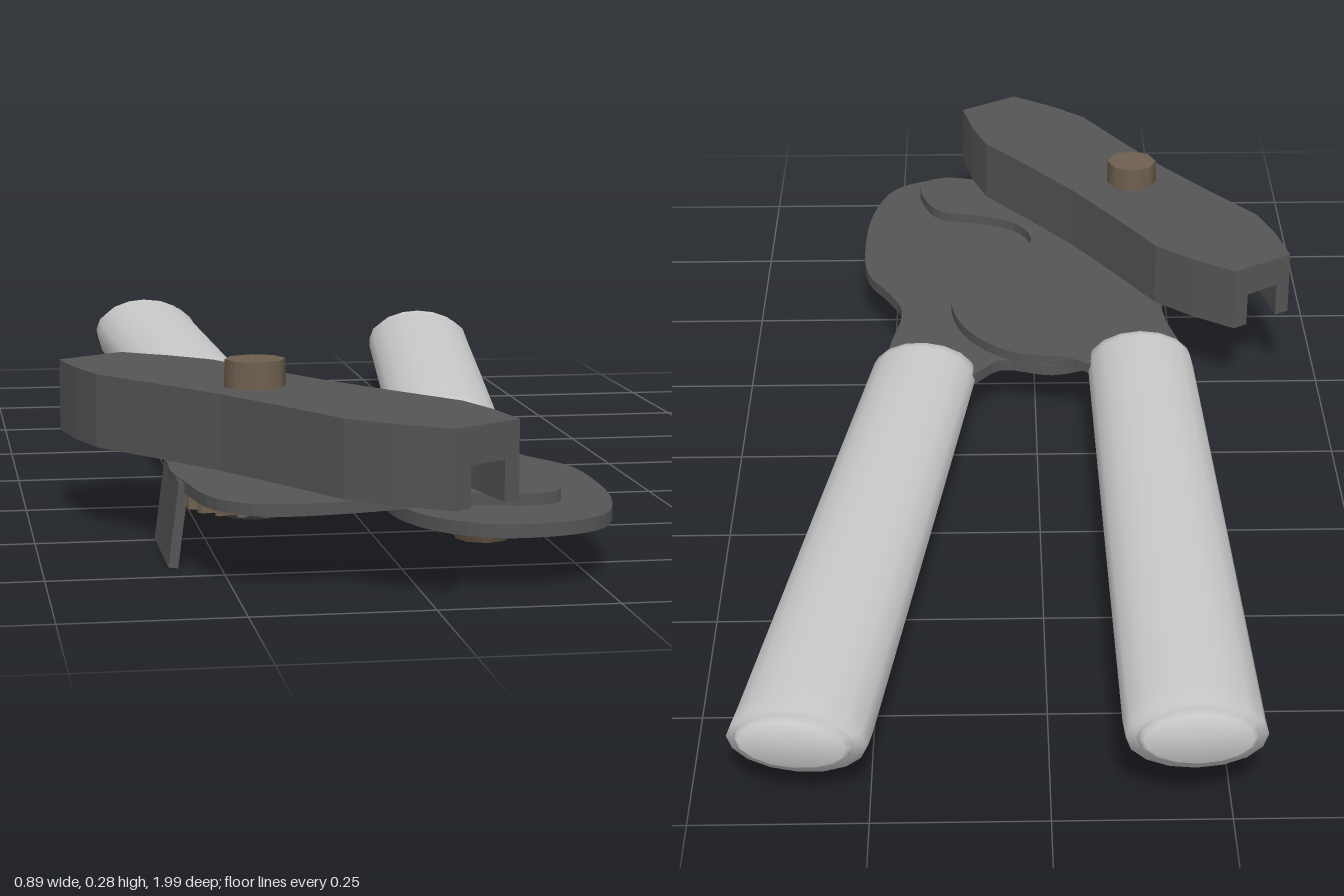
import * as THREE from 'three';

const metal = new THREE.MeshStandardMaterial({ color: 0x555555 });
const brass = new THREE.MeshStandardMaterial({ color: 0x6f6050 });
const grey = new THREE.MeshStandardMaterial({ color: 0xcccccc });

// flat outline in (x, z), filled between heights y0 and y1
function slab(name, pts, y0, y1, mat) {
  const shape = new THREE.Shape(pts.map(([x, z]) => new THREE.Vector2(x, z)));
  const geo = new THREE.ExtrudeGeometry(shape, { depth: y1 - y0, bevelEnabled: false });
  geo.rotateX(Math.PI / 2).translate(0, y1, 0);
  const mesh = new THREE.Mesh(geo, mat);
  mesh.name = name;
  return mesh;
}

// closed smooth outline through a few points
function smooth(pts) {
  const curve = new THREE.CatmullRomCurve3(pts.map(([x, z]) => new THREE.Vector3(x, 0, z)), true);
  return curve.getPoints(pts.length * 4).slice(0, -1).map((p) => [p.x, p.z]);
}

function disc(name, x, z, y0, y1, rBottom, rTop, sides, mat) {
  const mesh = new THREE.Mesh(new THREE.CylinderGeometry(rTop, rBottom, y1 - y0, sides), mat);
  mesh.position.set(x, (y0 + y1) / 2, z);
  mesh.name = name;
  return mesh;
}

function gear(name, x, z, r, y0, y1) {
  const teeth = 18, pts = [];
  for (let i = 0; i < teeth; i++) {
    for (const [f, k] of [[0, 0.84], [0.25, 1], [0.5, 1], [0.75, 0.84]]) {
      const a = ((i + f) / teeth) * Math.PI * 2;
      pts.push([Math.cos(a) * r * k, Math.sin(a) * r * k]);
    }
  }
  const mesh = slab(name, pts, y0, y1, brass);
  mesh.position.set(x, 0, z);
  return mesh;
}

// oval grip from the rear point to the front point, given as [x, z]
function handle(name, rear, front, y, halfHeight) {
  const dx = front[0] - rear[0], dz = front[1] - rear[1];
  const len = Math.hypot(dx, dz);
  const rings = [ // distance from rear, half width, relative height, lift
    [0, 0.0, 0, 0.025], [0, 0.075, 0.6, 0.025], [0.015, 0.085, 0.7, 0.02], [0.02, 0.078, 0.68, 0.018],
    [0.03, 0.098, 0.82, 0.01], [0.08, 0.099, 1, 0], [len * 0.5, 0.095, 1, 0], [len - 0.05, 0.09, 1, 0],
    [len - 0.02, 0.088, 0.85, 0], [len - 0.015, 0.075, 0.75, 0], [len, 0.08, 0.6, 0], [len, 0, 0, 0],
  ];
  const sides = 16, pos = [], index = [];
  rings.forEach(([s, w, h, lift], r) => {
    for (let i = 0; i < sides; i++) {
      const a = (i / sides) * Math.PI * 2;
      pos.push(Math.cos(a) * w, Math.sin(a) * h * halfHeight + lift, s);
      if (r === rings.length - 1) continue;
      const p = r * sides + i, q = r * sides + ((i + 1) % sides);
      index.push(p, q, q + sides, p, q + sides, p + sides);
    }
  });
  const geo = new THREE.BufferGeometry();
  geo.setAttribute('position', new THREE.Float32BufferAttribute(pos, 3));
  geo.setIndex(index);
  geo.computeVertexNormals();
  const mesh = new THREE.Mesh(geo, grey);
  mesh.position.set(rear[0], y, rear[1]);
  mesh.rotation.y = Math.atan2(dx, dz);
  mesh.name = name;
  return mesh;
}

export function createModel() {
  const model = new THREE.Group();
  model.name = 'canOpener';

  // grips
  model.add(
    handle('rightHandle', [-0.2, -1.0], [-0.178, 0.15], 0.11, 0.066),
    handle('leftHandle', [0.355, -0.965], [0.187, 0.17], 0.083, 0.063),
  );

  // upper jaw plate with its tongue
  model.add(slab('upperPlate', smooth([
    [-0.25, 0.08], [-0.11, 0.08], [-0.05, 0.115], [0.03, 0.13], [0.1, 0.19], [0.14, 0.28], [0.143, 0.37],
    [0.11, 0.43], [0.04, 0.49], [0.0, 0.58], [0.03, 0.65], [0.1, 0.685], [0.17, 0.705], [0.2, 0.76],
    [0.207, 0.835], [0.16, 0.86], [0.06, 0.84], [-0.09, 0.875], [-0.21, 0.88], [-0.27, 0.83], [-0.3, 0.7],
    [-0.31, 0.57], [-0.26, 0.42], [-0.225, 0.3],
  ]), 0.108, 0.125, metal));

  // lower jaw plate, lapping under the upper one at the hinge
  model.add(slab('lowerPlate', smooth([
    [0.25, 0.1], [0.255, 0.2], [0.235, 0.35], [0.26, 0.42], [0.3, 0.5], [0.31, 0.62], [0.297, 0.77],
    [0.26, 0.87], [0.2, 0.91], [0.1, 0.915], [0.03, 0.86], [-0.01, 0.76], [-0.015, 0.62], [-0.05, 0.51],
    [-0.13, 0.44], [-0.19, 0.37], [-0.18, 0.26], [-0.12, 0.18], [-0.03, 0.14], [0.06, 0.16], [0.12, 0.1],
  ]), 0.076, 0.095, metal));
  model.add(disc('hingePin', -0.02, 0.3, 0.074, 0.124, 0.04, 0.04, 16, metal));

  // bent guide tab on the outer edge
  const tab = new THREE.Mesh(new THREE.BoxGeometry(0.014, 0.122, 0.2), metal);
  tab.position.set(-0.309, 0.062, 0.598);
  tab.rotation.z = -0.13;
  tab.name = 'guideTab';
  model.add(tab);

  // turning key: hollow underneath, open at both ends
  const key = new THREE.Group();
  key.name = 'turningKey';
  const half = [[-0.43, 0.06], [-0.35, 0.092], [-0.27, 0.113], [-0.14, 0.105], [0, 0.1],
    [0.14, 0.105], [0.27, 0.113], [0.35, 0.092], [0.43, 0.06]];
  const outline = (side, inset) => half.map(([s, w]) => [side * (w - inset), s]);
  key.add(slab('keyTop', [...outline(1, 0), ...outline(-1, 0).reverse()], 0.188, 0.24, metal));
  for (const side of [1, -1]) {
    key.add(slab('keyWall', [...outline(side, 0), ...outline(side, 0.028).reverse()], 0.13, 0.188, metal));
  }
  key.position.set(-0.16, 0, 0.598);
  key.rotation.y = Math.atan2(0.472, 0.717);
  model.add(key);

  // drive post and toothed drive wheel
  model.add(
    disc('drivePost', -0.185, 0.585, 0.1, 0.28, 0.05, 0.044, 8, brass),
    gear('driveWheel', -0.19, 0.6, 0.1, 0.07, 0.106),
    disc('driveWheelHub', -0.19, 0.6, 0.056, 0.07, 0.045, 0.065, 16, metal),
  );

  // cutting wheel stack under the lower plate
  model.add(
    gear('cutterGear', 0.143, 0.625, 0.093, 0.055, 0.075),
    disc('cutterCone', 0.143, 0.625, 0.044, 0.055, 0.05, 0.07, 20, metal),
    disc('cutterBlade', 0.13, 0.625, 0.036, 0.043, 0.06, 0.06, 20, metal),
    disc('cutterAxle', 0.143, 0.625, 0.025, 0.08, 0.025, 0.025, 12, metal),
    disc('cutterNut', 0.143, 0.625, 0.015, 0.029, 0.04, 0.047, 8, brass),
  );
  return model;
}
